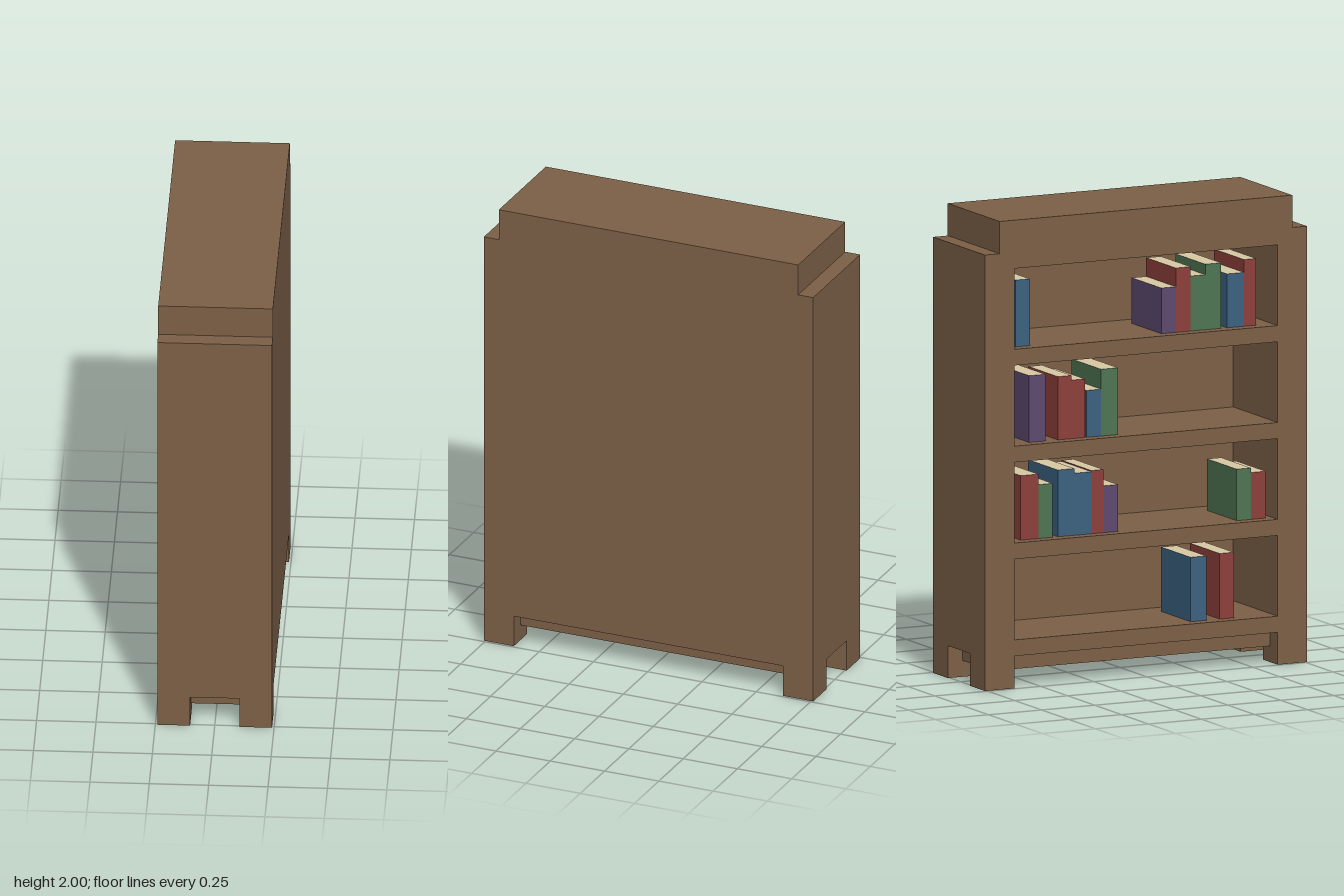
import * as THREE from 'three';

const U = 2 / 29; // carpentry grid unit

function material(name, color) {
  const m = new THREE.MeshStandardMaterial({ color });
  m.name = name;
  return m;
}

export function createModel() {
  const group = new THREE.Group();
  group.name = 'bookcase';
  const wood = material('wood', 0x7d6047);
  const pages = material('pages', 0xd8c8a4);
  const covers = {
    red: material('red cover', 0x8f403b),
    green: material('green cover', 0x4f7553),
    blue: material('blue cover', 0x3d6282),
    purple: material('purple cover', 0x5e4a70),
  };

  // Board given by its extents in grid units
  function board(name, x0, x1, y0, y1, z0, z1) {
    const mesh = new THREE.Mesh(
      new THREE.BoxGeometry((x1 - x0) * U, (y1 - y0) * U, (z1 - z0) * U), wood);
    mesh.position.set((x0 + x1) / 2 * U, (y0 + y1) / 2 * U, (z0 + z1) / 2 * U);
    mesh.name = name;
    group.add(mesh);
  }

  // End panels, each notched at the bottom to leave two feet
  const outline = [[-3.5, 0], [-1.5, 0], [-1.5, 2], [1.5, 2], [1.5, 0], [3.5, 0], [3.5, 27], [-3.5, 27]];
  const endShape = new THREE.Shape(outline.map(([x, y]) => new THREE.Vector2(x * U, y * U)));
  const endGeometry = new THREE.ExtrudeGeometry(endShape, { depth: 2 * U, bevelEnabled: false });
  for (const z of [-11, 9]) {
    const end = new THREE.Mesh(endGeometry, wood);
    end.position.z = z * U;
    end.name = 'endPanel';
    group.add(end);
  }

  // Carcass
  board('plinth', -2.5, 2.5, 1, 2, -10, 10);
  board('backPanel', 2.5, 3.5, 2, 27, -9, 9);
  board('topCap', -3.5, 3.5, 27, 29, -10, 10);
  board('topBoard', -3.5, 2.5, 26, 27, -9, 9);
  const shelfBottoms = [2, 8, 14, 20];
  for (const y of shelfBottoms) board('shelf', -3.5, 2.5, y, y + 1, -9, 9);

  // Books per shelf from the bottom up: colour, z start, z end, height
  const rows = [
    [['blue', 0.236, 0.31, 0.275], ['red', 0.373, 0.44, 0.28]],
    [['red', -0.565, -0.482, 0.275], ['green', -0.482, -0.414, 0.23], ['blue', -0.39, -0.311, 0.285],
      ['blue', -0.311, -0.232, 0.265], ['red', -0.232, -0.175, 0.27], ['purple', -0.175, -0.106, 0.2],
      ['green', 0.453, 0.52, 0.22], ['red', 0.52, 0.59, 0.2]],
    [['purple', -0.525, -0.448, 0.285], ['red', -0.39, -0.325, 0.27], ['red', -0.325, -0.262, 0.25],
      ['blue', -0.255, -0.186, 0.2], ['green', -0.186, -0.106, 0.285]],
    [['blue', -0.59, -0.522, 0.285], ['purple', 0.098, 0.166, 0.195], ['red', 0.166, 0.236, 0.275],
      ['green', 0.236, 0.305, 0.235], ['green', 0.305, 0.38, 0.28], ['blue', 0.407, 0.487, 0.23],
      ['red', 0.487, 0.545, 0.285]],
  ];
  rows.forEach((row, i) => {
    const floor = (shelfBottoms[i] + 1) * U;
    for (const [color, z0, z1, height] of row) {
      const c = covers[color];
      // Only the top face shows the pages
      const book = new THREE.Mesh(
        new THREE.BoxGeometry(4 * U, height, z1 - z0), [c, c, pages, c, c, c]);
      book.position.set(-0.053, floor + height / 2, (z0 + z1) / 2);
      book.name = 'book';
      group.add(book);
    }
  });

  return group;
}
